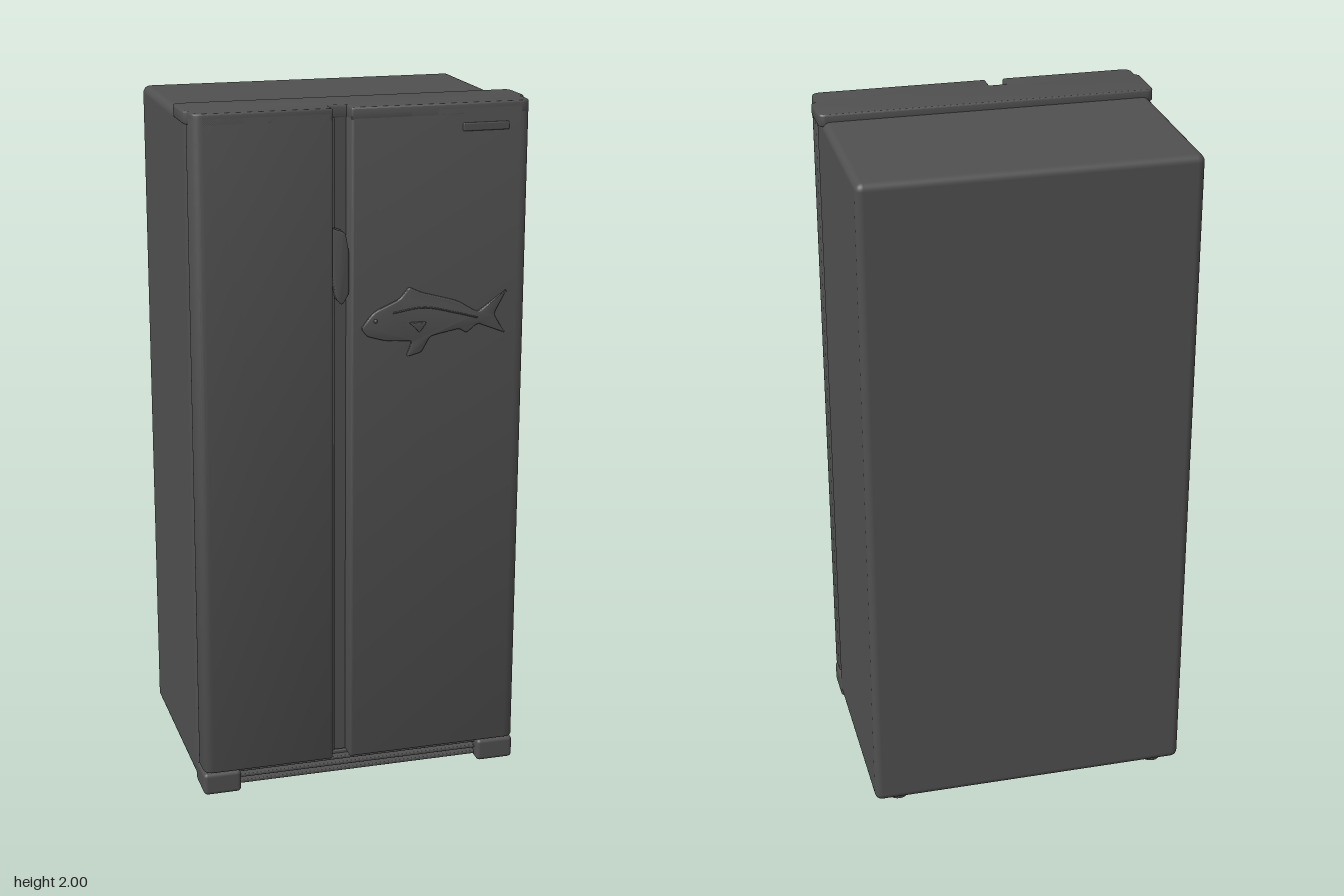
import * as THREE from 'three';
import { toCreasedNormals } from 'three/addons/utils/BufferGeometryUtils.js';
import { RoundedBoxGeometry } from 'three/addons/geometries/RoundedBoxGeometry.js';

const steel = new THREE.MeshStandardMaterial({ color: 0x505050 });
steel.name = 'dark grey steel';

// Closed outline whose corners [x, y, radius] are rounded
function outline(points) {
  const shape = new THREE.Shape();
  const v = points.map(([x, y]) => new THREE.Vector2(x, y));
  const n = points.length;
  const toward = (a, b, r) => a.clone().add(b.clone().sub(a).setLength(r));
  for (let i = 0; i < n; i++) {
    const r = points[i][2] || 0;
    const a = r ? toward(v[i], v[(i + n - 1) % n], r) : v[i];
    if (i) shape.lineTo(a.x, a.y); else shape.moveTo(a.x, a.y);
    if (r) {
      const b = toward(v[i], v[(i + 1) % n], r);
      shape.quadraticCurveTo(v[i].x, v[i].y, b.x, b.y);
    }
  }
  shape.closePath();
  return shape;
}

function extrude(shape, depth, bevel) {
  return new THREE.ExtrudeGeometry(shape, {
    depth: depth - 2 * bevel, curveSegments: 6, bevelEnabled: bevel > 0,
    bevelSize: bevel, bevelThickness: bevel, bevelOffset: -bevel, bevelSegments: 3,
  }).translate(0, 0, bevel);
}

// Extrude a plan outline given as [x, z, radius] between two heights
function plan(points, y0, y1, bevel = 0) {
  const g = extrude(outline(points.map(([x, z, r]) => [x, -z, r])), y1 - y0, bevel);
  return toCreasedNormals(g.rotateX(-Math.PI / 2).translate(0, y0, 0), 0.6);
}

// Rounded box from its limits
function block(x0, x1, y0, y1, z0, z1, r) {
  return new RoundedBoxGeometry(x1 - x0, y1 - y0, z1 - z0, 3, r)
    .translate((x0 + x1) / 2, (y0 + y1) / 2, (z0 + z1) / 2);
}

export function createModel() {
  const model = new THREE.Group();
  model.name = 'refrigerator';
  const add = (name, geometry, parent = model) => {
    const mesh = new THREE.Mesh(geometry, steel);
    mesh.name = name;
    parent.add(mesh);
    return mesh;
  };

  // Cabinet, door seal and the channel floor between the doors
  add('cabinet', block(-0.477, 0.475, 0.01, 1.978, -0.365, 0.252, 0.022));
  add('doorSeal', block(-0.462, 0.46, 0.07, 1.97, 0.24, 0.275, 0.004));
  add('channelFloor', block(-0.1, -0.03, 0.075, 1.985, 0.25, 0.29, 0.003));

  // Two doors with rounded front corners
  const zb = 0.262, zf = 0.345;
  add('freezerDoor', plan([[-0.477, zb, 0.008], [-0.09, zb], [-0.09, zf, 0.008], [-0.477, zf, 0.03]], 0.075, 1.99, 0.005));
  add('fridgeDoor', plan([[-0.038, zb], [0.475, zb, 0.008], [0.475, zf, 0.03], [-0.038, zf, 0.008]], 0.075, 1.99, 0.005));

  // Hinge cover across the top, notched over the channel
  add('hingeCover', plan([
    [-0.488, 0.14, 0.02], [0.485, 0.14, 0.02], [0.488, 0.252, 0.006], [0.475, 0.26, 0.006],
    [0.475, zf, 0.03], [-0.038, zf, 0.006], [-0.038, 0.291], [-0.09, 0.291], [-0.09, zf, 0.006],
    [-0.477, zf, 0.03], [-0.477, 0.29, 0.006], [-0.488, 0.28, 0.006],
  ], 1.964, 2.0, 0.005));

  // Grip set into the channel: a slanted strip that tapers at both ends
  const grip = extrude(outline([
    [-0.089, 1.67], [-0.05, 1.655, 0.01], [-0.04, 1.6, 0.01], [-0.04, 1.48, 0.01],
    [-0.06, 1.45, 0.008], [-0.078, 1.47, 0.01], [-0.089, 1.54],
  ]), 0.045, 0.006).translate(0, 0, 0.288);
  add('grip', toCreasedNormals(grip, 0.6));
  add('channelRib', block(-0.09, -0.077, 0.085, 1.97, 0.28, 0.315, 0.003));

  // Plinth: corner feet, recessed grille with slats, rear feet
  const plinth = new THREE.Group();
  plinth.name = 'plinth';
  model.add(plinth);
  for (const side of [-1, 1]) {
    const x0 = side < 0 ? -0.477 : 0.365;
    add('frontFoot', block(x0, x0 + 0.112, 0, 0.068, 0.22, 0.335, 0.012), plinth);
    const rear = new THREE.CylinderGeometry(0.028, 0.028, 0.02, 20);
    add('rearFoot', rear.translate(side * 0.4, 0.01, -0.32), plinth);
  }
  add('grille', block(-0.38, 0.38, 0.012, 0.07, 0.23, 0.285, 0.004), plinth);
  for (const y of [0.017, 0.036, 0.055]) {
    add('grilleSlat', block(-0.37, 0.37, y - 0.005, y + 0.005, 0.27, 0.305, 0.003), plinth);
  }

  // Badge plate
  add('badge', block(0.278, 0.412, 1.922, 1.945, 0.338, 0.35, 0.004));

  // Fish ornament on the wide door
  const fish = new THREE.Group();
  fish.name = 'fishOrnament';
  model.add(fish);
  const body = extrude(outline([
    [-0.01, 1.385, 0.006], [0.025, 1.43, 0.02], [0.1, 1.462, 0.01], [0.128, 1.495, 0.008],
    [0.165, 1.477, 0.015], [0.27, 1.447, 0.02], [0.33, 1.41, 0.012], [0.415, 1.47, 0.004],
    [0.378, 1.402, 0.012], [0.412, 1.345, 0.004], [0.33, 1.378, 0.01], [0.298, 1.352, 0.006],
    [0.275, 1.366, 0.008], [0.19, 1.35, 0.012], [0.165, 1.305, 0.01], [0.122, 1.295, 0.006],
    [0.138, 1.34, 0.01], [0.06, 1.345, 0.02], [0.005, 1.362, 0.01],
  ]), 0.013, 0.004).translate(0, 0, 0.341);
  add('fishBody', toCreasedNormals(body, 0.6), fish);
  const fin = extrude(outline([
    [0.125, 1.395, 0.008], [0.178, 1.395, 0.008], [0.165, 1.378, 0.004], [0.155, 1.365, 0.004], [0.145, 1.378, 0.004],
  ]), 0.013, 0.002).translate(0, 0, 0.351);
  add('sideFin', toCreasedNormals(fin, 0.6), fish);
  add('fishEye', new THREE.SphereGeometry(0.006, 12, 8).translate(0.03, 1.405, 0.353), fish);
  // Raised line along the flank
  const flank = new THREE.CatmullRomCurve3([[0.08, 1.425], [0.17, 1.435], [0.26, 1.415], [0.33, 1.395]]
    .map(([x, y]) => new THREE.Vector3(x, y, 0.353)));
  add('flankLine', new THREE.TubeGeometry(flank, 24, 0.0025, 6), fish);

  return model;
}
